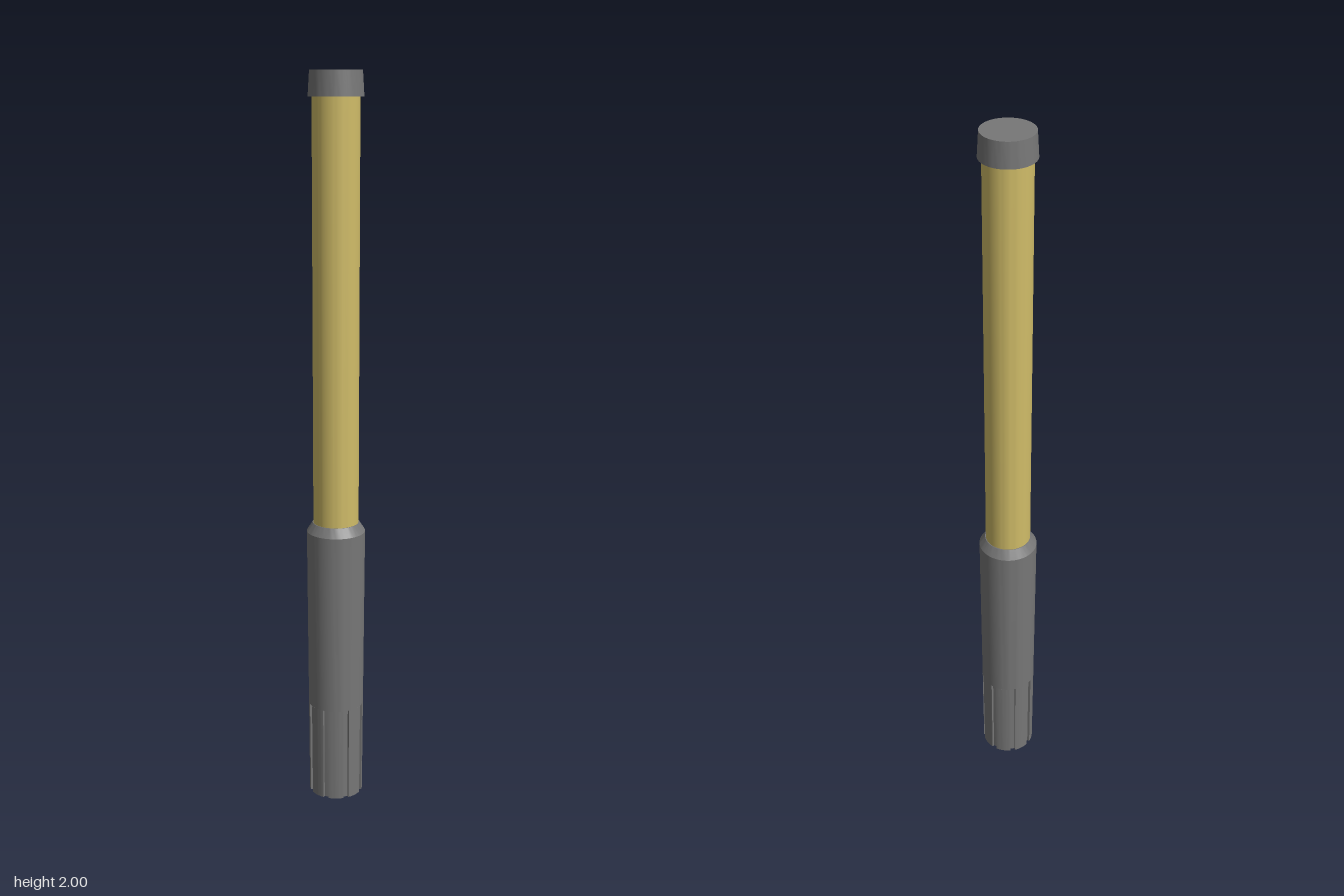
import * as THREE from 'three';
import { toCreasedNormals } from 'three/addons/utils/BufferGeometryUtils.js';

const GROOVES = 8, GROOVE_TOP = 0.27;
const gripRadius = (y) => 0.075 + 0.005 * Math.min(y / 0.78, 1);

function addMesh(group, name, geometry, color) {
  const material = new THREE.MeshStandardMaterial({ color });
  const mesh = new THREE.Mesh(toCreasedNormals(geometry, 0.4), material);
  mesh.name = name;
  group.add(mesh);
  return mesh;
}

// Solid of revolution from [radius, height] pairs, bottom to top
function turned(profile) {
  return new THREE.LatheGeometry(profile.map(([r, y]) => new THREE.Vector2(r, y)), 64);
}

// Fluted foot of the grip: a disc with square notches, tapered along its height
function flutedGrip() {
  const r = gripRadius(GROOVE_TOP), inner = r - 0.007, half = 0.0075 / r;
  const step = (Math.PI * 2) / GROOVES, points = [];
  const at = (radius, a) => points.push(new THREE.Vector2(radius * Math.cos(a), radius * Math.sin(a)));
  for (let i = 0; i < GROOVES; i++) {
    const a = i * step;
    at(inner, a - half);
    at(inner, a + half);
    for (let k = 0; k <= 8; k++) at(r, a + half + (k / 8) * (step - 2 * half));
  }
  const geometry = new THREE.ExtrudeGeometry(new THREE.Shape(points), { depth: GROOVE_TOP, bevelEnabled: false });
  geometry.rotateX(-Math.PI / 2);
  const p = geometry.attributes.position;
  for (let i = 0; i < p.count; i++) {
    const s = gripRadius(p.getY(i)) / r;
    p.setX(i, p.getX(i) * s);
    p.setZ(i, p.getZ(i) * s);
  }
  return geometry;
}

export function createModel() {
  const model = new THREE.Group();
  model.name = 'handle';
  const dark = 0x777777, yellow = 0xd0bc68;

  // Grip: fluted foot, plain sleeve and chamfered collar
  addMesh(model, 'flutedGrip', flutedGrip(), dark);
  addMesh(model, 'gripSleeve', turned([
    [0, GROOVE_TOP], [gripRadius(GROOVE_TOP), GROOVE_TOP], [0.08, 0.78], [0.064, 0.805], [0, 0.805],
  ]), dark);

  // Shaft
  addMesh(model, 'shaft', turned([[0, 0.8], [0.062, 0.8], [0.062, 1.95], [0, 1.95]]), yellow);

  // Slightly tapered end cap
  addMesh(model, 'endCap', turned([[0, 1.935], [0.072, 1.935], [0.068, 2], [0, 2]]), dark);

  return model;
}
